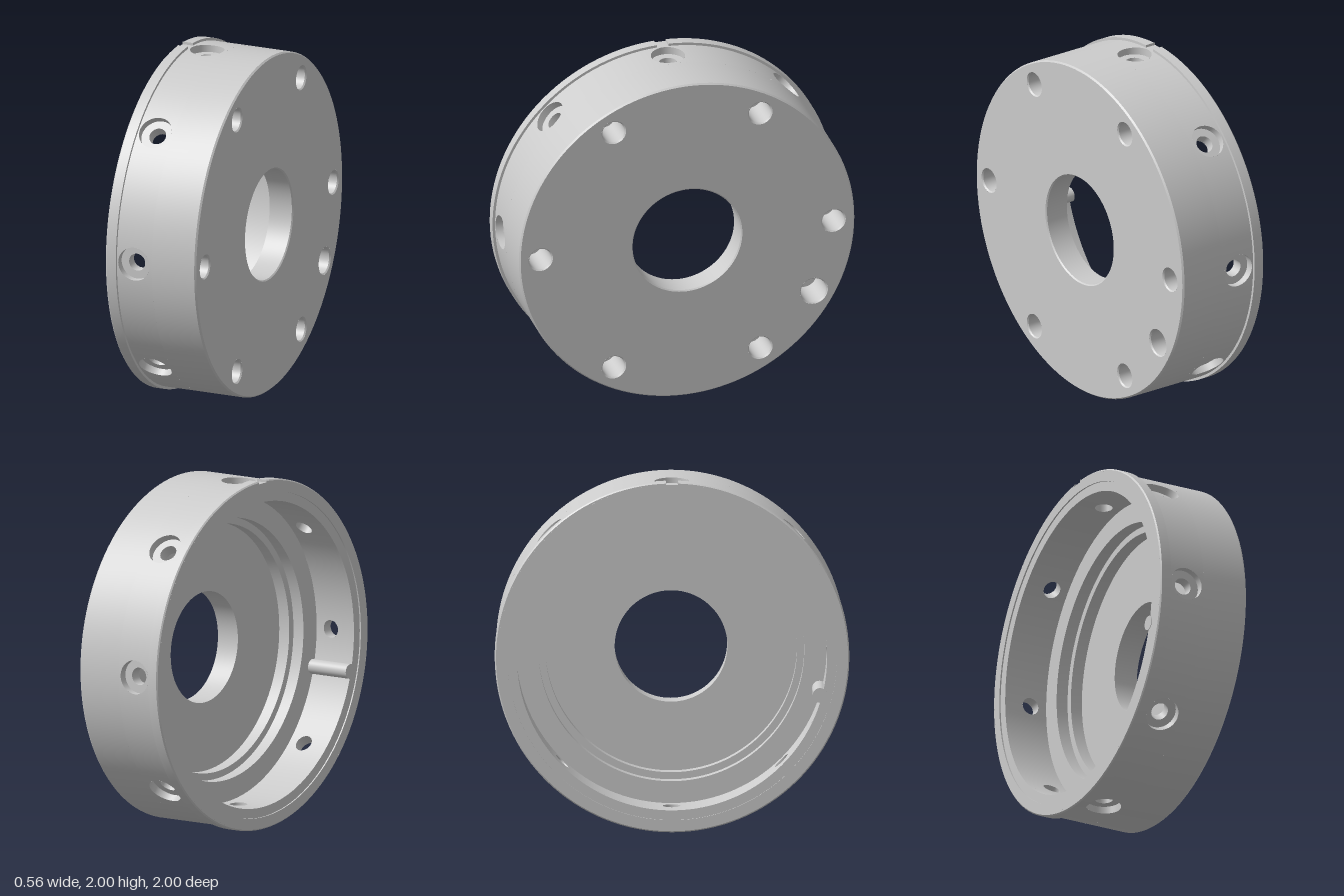
import * as THREE from 'three';
import { toCreasedNormals } from 'three/addons/utils/BufferGeometryUtils.js';

const SEG = 128;
const R_OUT = 0.985, R_WALL = 0.875, R_SEAT = 0.94; // outer skin, cavity wall, screw seat
const HOLE_X = -0.11, R_BORE = 0.05, R_SINK = 0.097;
const LEDGE_X = -0.01;
const material = new THREE.MeshStandardMaterial({ color: 0xcccccc, side: THREE.DoubleSide });

function add(parent, name, geometry) {
  const mesh = new THREE.Mesh(geometry, material);
  mesh.name = name;
  parent.add(mesh);
  return mesh;
}

// Profile of [radius, x] pairs turned about the x axis
function turned(profile, segments = SEG, start = 0, length = Math.PI * 2) {
  const points = profile.map(([r, x]) => new THREE.Vector2(r, x));
  const geometry = new THREE.LatheGeometry(points, segments, start, length);
  geometry.rotateZ(-Math.PI / 2);
  return toCreasedNormals(geometry, 0.4);
}

// One eighth of a cylinder skin, centred on +y, with a round hole of radius r
function piercedSkin(R, x0, x1, r, inward) {
  const side = 20, count = side * 4, rings = 12, half = Math.PI / 8;
  const corners = [[x1, -half], [x1, half], [x0, half], [x0, -half]];
  const positions = [], normals = [], index = [];
  for (let j = 0; j <= rings; j++) {
    for (let i = 0; i <= count; i++) {
      const k = Math.floor(i / side) % 4, f = (i % side) / side;
      const a = corners[k], b = corners[(k + 1) % 4];
      const angle = (i / count) * Math.PI * 2 - Math.PI / 4;
      const t = j / rings;
      const x = THREE.MathUtils.lerp(a[0] + (b[0] - a[0]) * f, HOLE_X + r * Math.cos(angle), t);
      const u = THREE.MathUtils.lerp(a[1] + (b[1] - a[1]) * f, Math.asin(r * Math.sin(angle) / R), t);
      const s = inward ? -1 : 1;
      positions.push(x, R * Math.cos(u), R * Math.sin(u));
      normals.push(0, s * Math.cos(u), s * Math.sin(u));
      if (j < rings && i < count) {
        const p = j * (count + 1) + i, q = p + count + 1;
        if (inward) index.push(p, p + 1, q, p + 1, q + 1, q);
        else index.push(p, q, p + 1, p + 1, q, q + 1);
      }
    }
  }
  const geometry = new THREE.BufferGeometry();
  geometry.setAttribute('position', new THREE.Float32BufferAttribute(positions, 3));
  geometry.setAttribute('normal', new THREE.Float32BufferAttribute(normals, 3));
  geometry.setIndex(index);
  return geometry;
}

// Radial tube from the flat seat to a curved skin of radius R
function holeWall(r, R) {
  const geometry = new THREE.CylinderGeometry(r, r, 1, 40, 1, true);
  const p = geometry.attributes.position;
  for (let i = 0; i < p.count; i++) {
    const atSkin = (p.getY(i) > 0) === (R > R_SEAT);
    p.setY(i, atSkin ? Math.sqrt(R * R - p.getZ(i) ** 2) : R_SEAT);
  }
  return geometry.translate(HOLE_X, 0, 0);
}

export function createModel() {
  const model = new THREE.Group();
  model.name = 'flangedHousing';
  const housing = new THREE.Group();
  housing.name = 'housing';
  housing.position.y = 1;
  model.add(housing);

  // Turned surfaces: outer skin, centre bore with stepped cavity, open rim
  add(housing, 'outerSkin', turned([[R_OUT, 0], [R_OUT, 0.265], [0.977, 0.275]]));
  add(housing, 'boreAndCavity', turned([
    [0.325, 0.275], [0.318, 0.268], [0.318, 0.13], [0.71, 0.13], [0.71, 0.06],
    [0.75, 0.06], [0.75, LEDGE_X], [R_WALL, LEDGE_X],
  ]));
  add(housing, 'rim', turned([
    [R_WALL, -0.25], [R_WALL, -0.272], [0.93, -0.272], [0.93, -0.28], [R_OUT, -0.28], [R_OUT, -0.215],
  ]));

  // Raised flange, interrupted by a notch at the top
  const gap = 0.035;
  add(housing, 'flange', turned(
    [[R_OUT, -0.28], [0.993, -0.28], [1, -0.273], [1, -0.215], [R_OUT, -0.215]],
    SEG, -Math.PI / 2 + gap, Math.PI * 2 - gap * 2));
  for (const s of [-1, 1]) {
    add(housing, 'notchSide', new THREE.PlaneGeometry(0.065, 0.015)).position.set(-0.2475, 0.992, s * gap);
  }

  // Eight counterbored radial screw holes
  const parts = {
    outerSkinSector: piercedSkin(R_OUT, -0.215, 0, R_SINK, false),
    cavityWallSector: piercedSkin(R_WALL, -0.25, LEDGE_X, R_BORE, true),
    counterbore: holeWall(R_SINK, R_OUT),
    screwBore: holeWall(R_BORE, R_WALL),
    screwSeat: new THREE.RingGeometry(R_BORE, R_SINK, 40).rotateX(-Math.PI / 2).translate(HOLE_X, R_SEAT, 0),
  };
  for (let i = 0; i < 8; i++) {
    const sector = new THREE.Group();
    sector.name = 'screwHoleSector';
    sector.rotation.x = (i * Math.PI) / 4;
    for (const [name, geometry] of Object.entries(parts)) add(sector, name, geometry);
    housing.add(sector);
  }

  // Front plate with six blind holes and one larger locating hole
  const holes = [0, 60, 120, 180, 240, 300].map((deg) => [deg, 0.065]);
  holes.push([-30, 0.075]);
  const plate = new THREE.Shape().absarc(0, 0, 0.977, 0, Math.PI * 2);
  plate.holes.push(new THREE.Path().absarc(0, 0, 0.325, 0, Math.PI * 2, true));
  for (const [deg, r] of holes) {
    const a = THREE.MathUtils.degToRad(deg);
    const px = 0.86 * Math.cos(a), py = 0.86 * Math.sin(a);
    plate.holes.push(new THREE.Path().absarc(px, py, r + 0.007, 0, Math.PI * 2, true));
    const pocket = turned([[r + 0.007, 0], [r, -0.008], [r, -0.2], [0, -0.2]], 40);
    add(housing, 'blindHole', pocket).position.set(0.275, py, -px);
  }
  add(housing, 'frontPlate', new THREE.ShapeGeometry(plate, 64).rotateY(Math.PI / 2).translate(0.275, 0, 0));

  // Locating pin half sunk in the cavity wall
  const pin = new THREE.CylinderGeometry(0.042, 0.042, 0.27, 32).rotateZ(Math.PI / 2);
  add(housing, 'locatingPin', pin).position.set(-0.14, -0.22, 0.835);

  return model;
}
